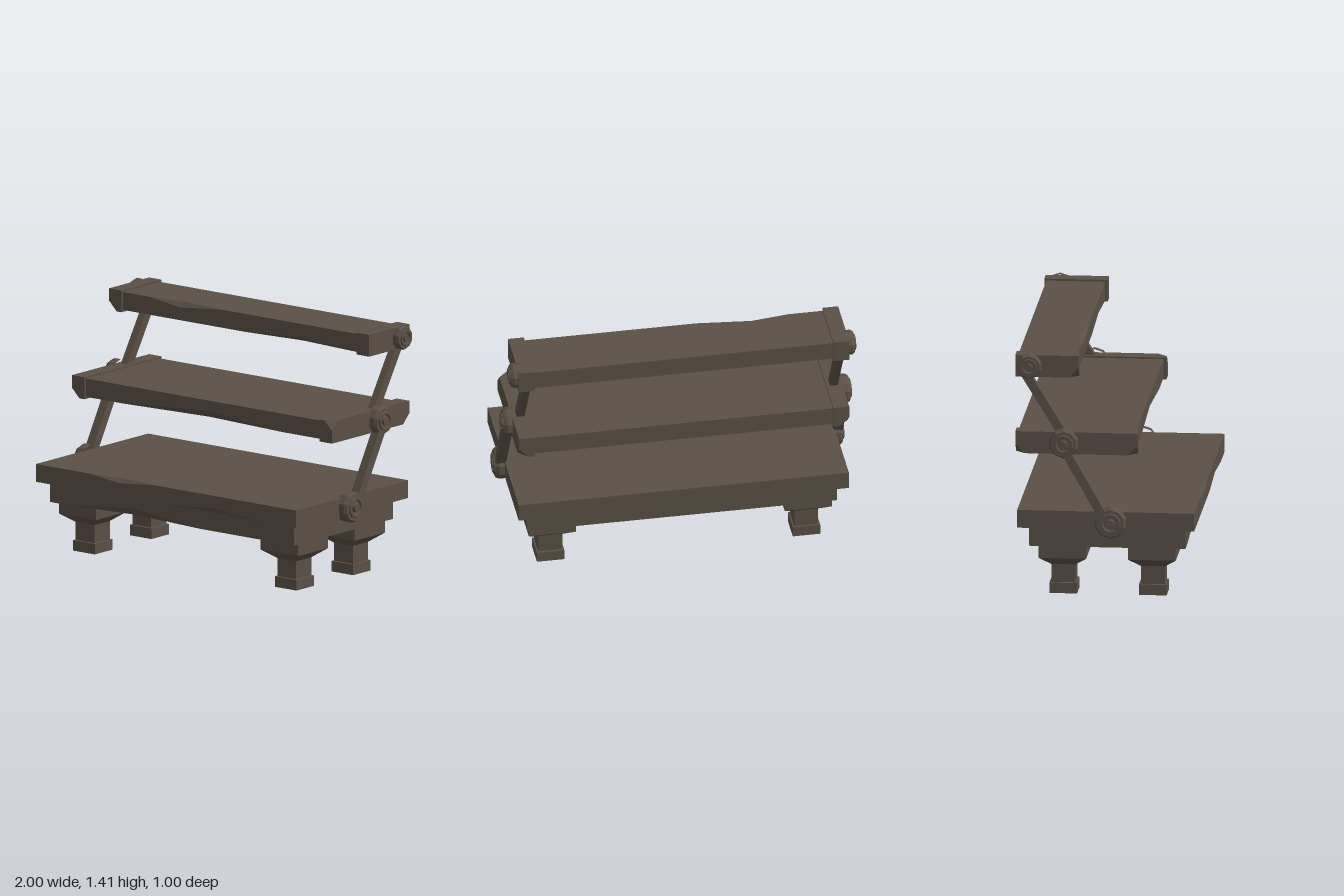
import * as THREE from 'three';
import { ConvexGeometry } from 'three/addons/geometries/ConvexGeometry.js';

const wood = new THREE.MeshStandardMaterial({ color: 0x5a5047, flatShading: true });
wood.name = 'dark weathered wood';

function add(parent, name, geometry) {
  const mesh = new THREE.Mesh(geometry, wood);
  mesh.name = name;
  parent.add(mesh);
  return mesh;
}

// Board whose front edges are chipped; a chip is [startX, peakX, endX, height, depth]
function boardGeometry(halfX, yb, yt, zb, zf, lowChip, topChip) {
  const cut = (chip, x) => {
    if (!chip || x <= chip[0] || x >= chip[2]) return [0, 0];
    const t = x < chip[1] ? (x - chip[0]) / (chip[1] - chip[0]) : (chip[2] - x) / (chip[2] - chip[1]);
    return [chip[3] * t, chip[4] * t];
  };
  const xs = [-halfX, halfX, ...(lowChip || []).slice(0, 3), ...(topChip || []).slice(0, 3)].sort((a, b) => a - b);
  const rings = xs.map((x) => {
    const [h, d] = cut(lowChip, x);
    const [k, e] = cut(topChip, x);
    return [[x, yb, zb], [x, yb, zf - d], [x, yb + h, zf], [x, yt - k, zf], [x, yt, zf - e], [x, yt, zb]];
  });
  const pos = [];
  const tri = (...corners) => corners.forEach((p) => pos.push(...p));
  for (let s = 0; s < rings.length - 1; s++) {
    for (let i = 0; i < 6; i++) {
      const j = (i + 1) % 6;
      const a = rings[s], b = rings[s + 1];
      tri(a[i], b[i], b[j]);
      tri(a[i], b[j], a[j]);
    }
  }
  const first = rings[0], last = rings[rings.length - 1];
  for (let i = 1; i < 5; i++) {
    tri(first[0], first[i], first[i + 1]);
    tri(last[0], last[i + 1], last[i]);
  }
  const g = new THREE.BufferGeometry();
  g.setAttribute('position', new THREE.Float32BufferAttribute(pos, 3));
  g.computeVertexNormals();
  return g;
}

// Box with chosen outer corners cut off; keys are 'ft', 'fb', 'bt', 'bb' (front/back, top/bottom)
function endCapGeometry(side, yb, yt, zb, zf, cuts) {
  const points = [];
  const inner = 0.848, outer = 0.938, c = 0.055;
  for (const [zk, z, dz] of [['f', zf, -1], ['b', zb, 1]]) {
    for (const [yk, y, dy] of [['t', yt, -1], ['b', yb, 1]]) {
      points.push(new THREE.Vector3(side * inner, y, z));
      if (cuts.includes(zk + yk)) {
        points.push(
          new THREE.Vector3(side * (outer - c), y, z),
          new THREE.Vector3(side * outer, y + dy * c, z),
          new THREE.Vector3(side * outer, y, z + dz * c));
      } else points.push(new THREE.Vector3(side * outer, y, z));
    }
  }
  return new ConvexGeometry(points);
}

// Square post from a profile of [half width, height]
function legGeometry() {
  const profile = [[0, 0], [0.078, 0], [0.078, 0.06], [0.068, 0.062], [0.068, 0.165], [0.134, 0.215], [0.134, 0.29], [0, 0.29]];
  return new THREE.LatheGeometry(profile.map(([w, y]) => new THREE.Vector2(w * Math.SQRT2, y)), 4, Math.PI / 4);
}

// Decagonal washer with a recessed ring and a centre pin, along y
function boltGeometry(r, length) {
  const profile = [[1, 0], [1, 0.6], [0.88, 0.82], [0.68, 0.82], [0.64, 0.95], [0.5, 0.95], [0.44, 0.8], [0.3, 0.8], [0.27, 1], [0, 1]];
  return new THREE.LatheGeometry(profile.map(([x, y]) => new THREE.Vector2(x * r, y * length)), 10, Math.PI / 10);
}

// Straight bar between two [z, y] points
function addArm(parent, name, x, thick, from, to) {
  const dz = to[0] - from[0], dy = to[1] - from[1];
  const arm = add(parent, name, new THREE.BoxGeometry(thick, Math.hypot(dz, dy), 0.05));
  arm.position.set(x, (from[1] + to[1]) / 2, (from[0] + to[0]) / 2);
  arm.rotation.x = Math.atan2(dz, dy);
}

export function createModel() {
  const model = new THREE.Group();
  model.name = 'tieredShelf';

  // Boards
  add(model, 'baseFrame', boardGeometry(0.88, 0.288, 0.405, -0.43, 0.448, [-0.75, -0.3, 0.2, 0.048, 0.05]));
  add(model, 'baseBoard', boardGeometry(0.938, 0.405, 0.507, -0.492, 0.503,
    [0.03, 0.33, 0.7, 0.03, 0.035], [-0.55, -0.33, -0.08, 0.025, 0.025]));
  add(model, 'middleBoard', boardGeometry(0.86, 0.846, 0.951, -0.49, 0.168, [-0.58, 0, 0.58, 0.045, 0.045]));
  add(model, 'topBoard', boardGeometry(0.86, 1.287, 1.39, -0.49, -0.16,
    [0.03, 0.42, 0.82, 0.025, 0.035], [-0.65, -0.44, -0.13, 0.03, 0.03]));

  // Legs
  for (const x of [-0.727, 0.727]) {
    for (const z of [-0.245, 0.258]) add(model, 'leg', legGeometry()).position.set(x, 0, z);
  }

  for (const side of [-1, 1]) {
    // Caps at the board ends
    add(model, 'middleEndCap', endCapGeometry(side, 0.835, 0.961, -0.502, 0.184, side > 0 ? ['ft', 'bb'] : ['fb', 'bb']));
    add(model, 'topEndCap', endCapGeometry(side, 1.276, 1.401, -0.502, -0.146, side > 0 ? [] : ['fb']));

    // Slanted arms
    addArm(model, 'lowerArm', side * 0.956, 0.055, [0.015, 0.45], [-0.24, 0.9]);
    addArm(model, 'upperArm', side * 0.89, 0.045, [-0.212, 0.9], [-0.458, 1.3]);

    // Bolts at the joints: z, y, radius, outer x
    for (const [z, y, r, tip] of [[0.035, 0.45, 0.09, 1], [-0.228, 0.9, 0.083, 0.997], [-0.422, 1.34, 0.07, 0.988]]) {
      const bolt = add(model, 'bolt', boltGeometry(r, tip - 0.92));
      bolt.position.set(side * 0.92, y, z);
      bolt.rotation.z = -side * Math.PI / 2;
    }
  }
  return model;
}
